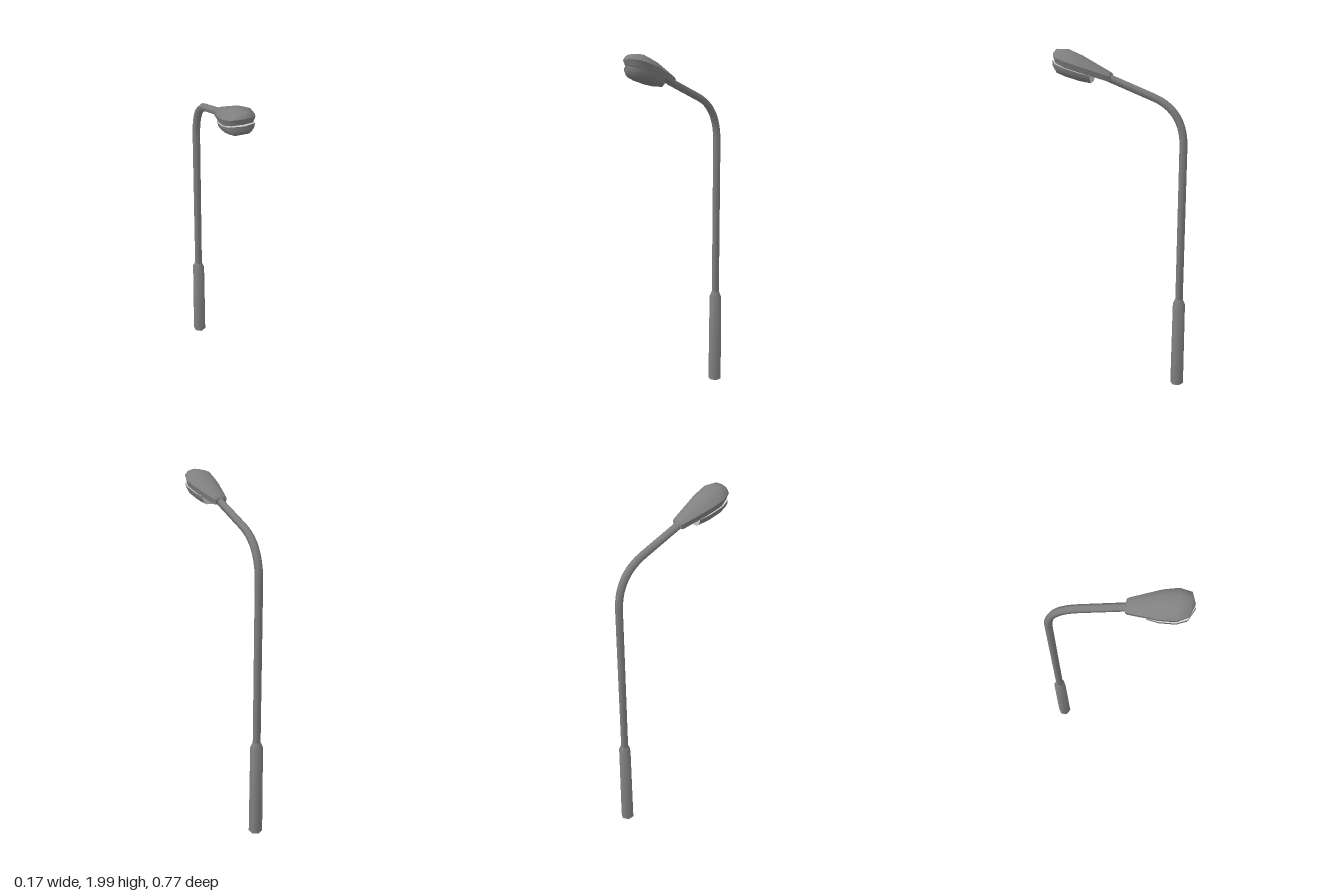
import * as THREE from 'three';
import { toCreasedNormals } from 'three/addons/utils/BufferGeometryUtils.js';

const V = (x, y, z) => new THREE.Vector3(x, y, z);

// Skin a row of equal-length cross-sections; optional cap on the first one
function loft(rings, { closed = true, cap = false, crease = 0.6 } = {}) {
  const n = rings[0].length;
  const index = [];
  for (let i = 0; i < rings.length - 1; i++) {
    for (let j = 0; j < (closed ? n : n - 1); j++) {
      const a = i * n + j, b = i * n + (j + 1) % n;
      index.push(a, a + n, b, b, a + n, b + n);
    }
  }
  if (cap) for (let j = 1; j < n - 1; j++) index.push(0, j, j + 1);
  const geo = new THREE.BufferGeometry().setFromPoints(rings.flat());
  geo.setIndex(index);
  return toCreasedNormals(geo, crease);
}

// Mirror half a cross-section: points run from one side across to the other
const mirrored = (half, z) => [
  ...half.map(([x, y]) => V(x, y, z)),
  ...half.slice().reverse().map(([x, y]) => V(-x, y, z)),
];

export function createModel() {
  const group = new THREE.Group();
  const grey = new THREE.MeshStandardMaterial({ color: 0x808080 });
  const white = new THREE.MeshStandardMaterial({ color: 0xffffff, side: THREE.DoubleSide });
  const add = (name, geo, mat = grey) => {
    const mesh = new THREE.Mesh(geo, mat);
    mesh.name = name;
    group.add(mesh);
    return mesh;
  };
  const poleZ = -0.346;

  // Thick six-sided foot of the pole, tapering in at its top
  const profile = [[0, 0], [0.039, 0], [0.039, 0.02], [0.036, 0.535], [0.022, 0.568]]
    .map(([r, y]) => new THREE.Vector2(r, y));
  add('poleBase', toCreasedNormals(new THREE.LatheGeometry(profile, 6), 1.1))
    .position.z = poleZ;

  // Slim six-sided pole that bends forward into the arm
  const bend = new THREE.QuadraticBezierCurve3(
    V(0, 1.49, poleZ), V(0, 1.691, poleZ), V(0, 1.755, -0.177));
  const stations = [[V(0, 0.55, poleZ), V(0, 1, 0)]];
  for (let i = 0; i <= 10; i++) stations.push([bend.getPoint(i / 10), bend.getTangent(i / 10)]);
  stations.push([V(0, 1.855, 0.085), bend.getTangent(1)]);
  const armRings = stations.map(([p, t]) => Array.from({ length: 6 }, (_, k) => {
    const a = k * Math.PI / 3;
    return V(Math.sin(a), t.z * Math.cos(a), -t.y * Math.cos(a)).multiplyScalar(0.022).add(p);
  }));
  add('poleAndArm', loft(armRings, { crease: 1.1 }));

  // Lamp housing: z, half width, crown, top of rim band, bottom of rim band
  const shell = [
    [0.055, 0.034, 1.873, 1.862, 1.836],
    [0.065, 0.041, 1.880, 1.866, 1.836],
    [0.22, 0.079, 1.962, 1.919, 1.885],
    [0.30, 0.086, 1.994, 1.944, 1.909],
    [0.36, 0.064, 1.993, 1.962, 1.928],
    [0.380, 0, 1.970, 1.970, 1.936],
  ];
  const cover = shell.map(([z, w, top, rim]) => {
    const h = top - rim;
    return mirrored([
      [-w, rim], [-0.7 * w, top - 0.3 * h], [-0.35 * w, top - 0.08 * h], [0, top],
    ], z);
  });
  add('lampCover', loft(cover, { closed: false, cap: true, crease: 1.2 }));

  // Rim band under the cover, leaning inward towards its lower edge
  const band = shell.map(([z, w, , rim, low]) => {
    const inset = z > 0.3 ? 0.01 : 0;
    return [
      V(-w, rim, z), V(w, rim, z), V(0.88 * w, low, z - inset), V(-0.88 * w, low, z - inset),
    ];
  });
  add('rimBand', loft(band, { cap: true, crease: 0.8 }));

  // Lens bowl below the band: z, half width, rim, bottom
  const lens = [
    [0.162, 0.058, 1.866, 1.822],
    [0.22, 0.075, 1.883, 1.833],
    [0.30, 0.082, 1.907, 1.855],
    [0.352, 0.066, 1.923, 1.872],
    [0.384, 0, 1.934, 1.903],
  ];
  const bowl = lens.map(([z, w, rim, low]) => {
    const h = rim - low;
    return mirrored([
      [w, rim], [0.97 * w, rim - 0.35 * h], [0.8 * w, rim - 0.75 * h], [0.55 * w, low],
    ], z);
  });
  add('lensBowl', loft(bowl, { closed: false, crease: 1.1 }));

  // Pale reflector closing the top and the back of the bowl
  add('reflectorTop', loft(lens.map(([z, w, rim]) => [V(-w, rim, z), V(w, rim, z)]), { closed: false }), white);
  add('reflectorBack', loft([bowl[0]], { cap: true }), white);

  return group;
}
